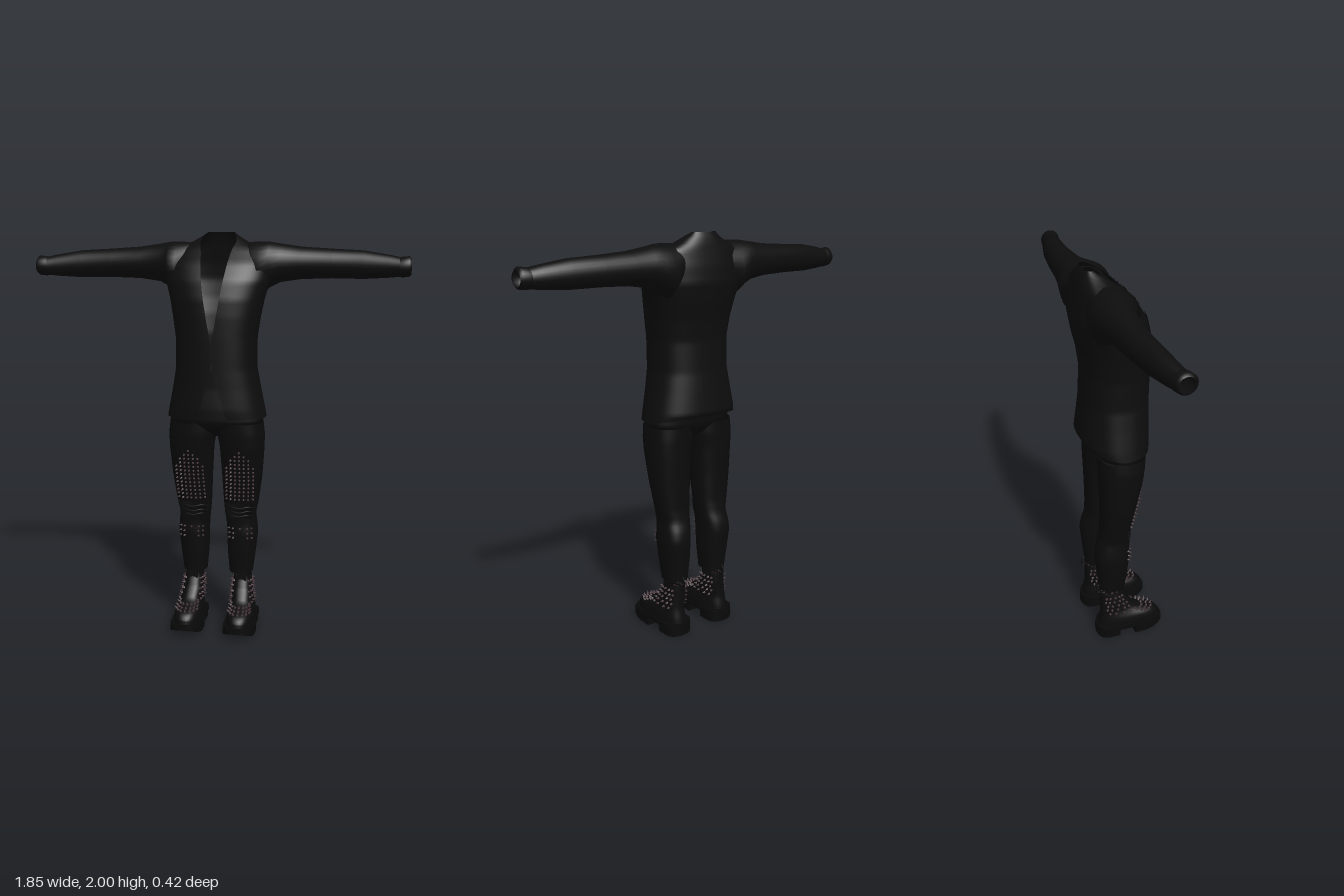
import * as THREE from 'three';
import { mergeGeometries } from 'three/addons/utils/BufferGeometryUtils.js';

const mat = (name, color, side = THREE.DoubleSide) => {
  const m = new THREE.MeshStandardMaterial({ color, side });
  m.name = name;
  return m;
};

// Quad grid through point(i, j); keep(i, j) may leave cells open
function grid(rows, cols, point, closed = false, keep = () => true) {
  const pos = [], idx = [], w = closed ? cols : cols + 1;
  for (let i = 0; i <= rows; i++) for (let j = 0; j < w; j++) pos.push(...point(i, j));
  for (let i = 0; i < rows; i++) for (let j = 0; j < cols; j++) {
    if (!keep(i, j)) continue;
    const a = i * w + j, b = i * w + (j + 1) % w, c = a + w, d = b + w;
    idx.push(a, b, c, b, d, c);
  }
  const g = new THREE.BufferGeometry();
  g.setAttribute('position', new THREE.Float32BufferAttribute(pos, 3));
  g.setIndex(idx);
  g.computeVertexNormals();
  return g;
}

// Linear lookup in a profile whose first column is the position along it
function sample(profile, t) {
  let k = 0;
  while (k < profile.length - 2 && t > profile[k + 1][0]) k++;
  const a = profile[k], b = profile[k + 1];
  const f = THREE.MathUtils.clamp((t - a[0]) / (b[0] - a[0]), 0, 1);
  return a.map((v, i) => v + (b[i] - v) * f);
}

const N = 2.4; // roundness of the cross-sections
const pw = v => Math.sign(v) * Math.abs(v) ** (2 / N);
const angleFor = (x, hw) => Math.asin(Math.sign(x) * Math.min(1, Math.abs(x / hw)) ** (N / 2));

// Profile columns: y, centre x, half width, front z, back z. Angle 0 is the front.
const surface = (profile, s = 1) => (y, a) => {
  const [, cx, hw, zf, zb] = sample(profile, y);
  return [s * cx + hw * pw(Math.sin(a)), y, (zf + zb) / 2 + (zf - zb) / 2 * pw(Math.cos(a))];
};

const TORSO = [
  [1.105, 0, .246, .14, -.18], [1.15, 0, .238, .145, -.19], [1.25, 0, .218, .145, -.18],
  [1.35, 0, .2, .147, -.17], [1.5, 0, .2, .15, -.165], [1.6, 0, .215, .15, -.178],
  [1.68, 0, .23, .145, -.197], [1.77, 0, .255, .122, -.21], [1.85, 0, .255, .072, -.2],
  [1.92, 0, .215, .0, -.185], [1.955, 0, .135, -.04, -.178], [1.985, 0, .085, -.075, -.168], [2, 0, .066, -.11, -.16]];
const OPENING = [[1.1, .075], [1.13, .065], [1.37, .002], [1.47, .002], [1.7, .042], [1.9, .073], [1.955, .09], [1.985, .08], [2, .062]];
const SLEEVE = [ // x, top y, bottom y, front z, back z
  [.13, 1.95, 1.75, -.01, -.18], [.2, 1.955, 1.69, .05, -.2], [.25, 1.953, 1.735, .012, -.196],
  [.3, 1.945, 1.76, -.01, -.186], [.4, 1.93, 1.775, -.02, -.175], [.55, 1.92, 1.78, -.03, -.16],
  [.7, 1.912, 1.778, -.025, -.138], [.82, 1.892, 1.785, -.015, -.11], [.89, 1.877, 1.792, -.003, -.09]];
const CUFF = [[.868, 1.88, 1.79, 0, -.095], [.88, 1.883, 1.787, .002, -.096], [.912, 1.886, 1.79, .006, -.09], [.923, 1.872, 1.8, -.005, -.082]];
const HIPS = [[1, 0, .02, .0, -.05], [1.035, 0, .13, .07, -.1], [1.08, 0, .234, .108, -.13],
  [1.15, 0, .22, .108, -.135], [1.25, 0, .198, .1, -.135], [1.34, 0, .185, .1, -.135]];
const LEG = [
  [.285, .12, .06, .005, -.13], [.4, .1225, .072, .018, -.142], [.5, .127, .078, .028, -.152],
  [.55, .123, .077, .026, -.145], [.6, .117, .078, .032, -.128], [.66, .121, .088, .03, -.12],
  [.8, .127, .101, .058, -.12], [.95, .128, .111, .09, -.125], [1.02, .122, .118, .1, -.128], [1.08, .119, .114, .104, -.128]];
const BOOT = [
  [.05, .135, .07, .195, -.145], [.085, .135, .07, .19, -.14], [.11, .135, .066, .168, -.135],
  [.125, .135, .06, .12, -.132], [.145, .133, .055, .066, -.13], [.2, .128, .052, .016, -.13],
  [.25, .127, .046, -.01, -.13], [.265, .127, .043, -.012, -.13]];

// Closed tube following a profile from bottom to top
function loft(profile, s, rows, keep) {
  const f = surface(profile, s), y0 = profile[0][0], y1 = profile.at(-1)[0], seg = 40;
  const yAt = i => y0 + (y1 - y0) * i / rows;
  return grid(rows, seg, (i, j) => f(yAt(i), j / seg * Math.PI * 2), true,
    keep && ((i, j) => keep(yAt(i + .5), ((j + .5) / seg * 2 - 1) * Math.PI)));
}

function sleeveGeometry(profile, s) {
  return grid(profile.length - 1, 28, (i, j) => {
    const [x, yt, yb, zf, zb] = profile[i], a = -s * j / 28 * Math.PI * 2;
    return [s * x, (yt + yb) / 2 + (yt - yb) / 2 * Math.sin(a), (zf + zb) / 2 + (zf - zb) / 2 * Math.cos(a)];
  }, true);
}

// Cone standing on a surface at height y and angle a
function stud(f, y, a, r = .007, h = .016) {
  const v = (yy, aa) => new THREE.Vector3(...f(yy, aa));
  const p = v(y, a), da = v(y, a + .02).sub(v(y, a - .02)), dy = v(y + .004, a).sub(v(y - .004, a));
  const n = da.cross(dy).normalize();
  const g = new THREE.ConeGeometry(r, h, 6);
  g.translate(0, h / 2 - .002, 0);
  g.applyQuaternion(new THREE.Quaternion().setFromUnitVectors(new THREE.Vector3(0, 1, 0), n));
  return g.translate(p.x, p.y, p.z);
}

// Sole block with rounded ends, seen from above
function slab(cx, hw, zb, zf, roundBack, roundFront, y0, y1) {
  const pts = [];
  for (let k = 0; k <= 14; k++) {
    const a = k / 14 * Math.PI;
    pts.push(new THREE.Vector2(hw * pw(Math.cos(a)), -(zb + roundBack - roundBack * pw(Math.sin(a)))));
  }
  for (let k = 0; k <= 14; k++) {
    const a = k / 14 * Math.PI;
    pts.push(new THREE.Vector2(-hw * pw(Math.cos(a)), -(zf - roundFront + roundFront * pw(Math.sin(a)))));
  }
  const g = new THREE.ExtrudeGeometry(new THREE.Shape(pts), { depth: y1 - y0, bevelEnabled: false });
  return g.rotateX(-Math.PI / 2).translate(cx, y0, 0);
}

export function createModel() {
  const model = new THREE.Group();
  const cloth = mat('jacket black', 0x0d0d0d), trouser = mat('trouser black', 0x0b0b0b);
  const leather = mat('boot black', 0x0c0b0b), rubber = mat('sole black', 0x090909, THREE.FrontSide);
  const metal = mat('stud brown', 0x46353a, THREE.FrontSide);
  const add = (name, geo, material, parent = model) => {
    const m = new THREE.Mesh(geo, material);
    m.name = name;
    parent.add(m);
  };

  // Jacket body, open along the front and at the armholes
  const jacket = new THREE.Group();
  jacket.name = 'jacket';
  model.add(jacket);
  const torso = surface(TORSO), rows = 56, cols = 56;
  const gapAngle = y => angleFor(sample(OPENING, y)[1], sample(TORSO, y)[2]);
  const yAt = i => 1.105 + .895 * i / rows;
  const bodyPoint = (i, j) => {
    const y = yAt(i), a0 = gapAngle(y), a = a0 + (Math.PI * 2 - 2 * a0) * j / cols;
    const p = torso(y, a);
    if (i < 3) p[1] += .028 * Math.max(0, -Math.cos(a)) * (1 - i / 3);
    return p;
  };
  add('jacketBody', grid(rows, cols, bodyPoint, false, (i, j) => {
    const p = bodyPoint(i + .5, j + .5);
    return !(Math.abs(p[0]) > .2 && p[1] > 1.79 && p[1] < 1.88 && p[2] > -.12 && p[2] < -.01);
  }), cloth, jacket);

  for (const s of [1, -1]) {
    const side = s > 0 ? 'left' : 'right';
    add(side + 'Sleeve', sleeveGeometry(SLEEVE, s), cloth, jacket);
    add(side + 'Cuff', sleeveGeometry(CUFF, s), cloth, jacket);

    // Lapel laid just over the chest
    add(side + 'Lapel', grid(24, 6, (i, j) => {
      const t = i / 24, y = 1.47 + .46 * t, hw = sample(TORSO, y)[2];
      const x = sample(OPENING, y)[1] + .055 * Math.sin(Math.PI * t ** .9) ** .8 * j / 6;
      const p = torso(y, s * angleFor(x, hw));
      return [p[0], p[1] + .002, p[2] + .005];
    }), cloth, jacket);

    // Trouser leg with a torn knee held by threads
    const leg = new THREE.Group();
    leg.name = side + 'Leg';
    model.add(leg);
    const legAt = surface(LEG, s);
    const torn = (y, a) => y > .575 && y < .655 && Math.abs(a) > Math.PI - .95;
    add('trouserLeg', loft(LEG, s, 40, (y, a) => !torn(y, a)), trouser, leg);
    for (const y of [.595, .615, .638]) {
      const path = [-1, -.5, 0, .5, 1].map((a, k) => new THREE.Vector3(...legAt(y + (k % 2) * .008, a)));
      add('kneeThread', new THREE.TubeGeometry(new THREE.CatmullRomCurve3(path), 16, .003, 5), trouser, leg);
    }

    // Studs on thigh and shin
    const studs = [];
    const legStud = (y, off) => studs.push(stud(legAt, y, angleFor(off, sample(LEG, y)[2])));
    for (let r = 0; r < 13; r++) {
      const y = .685 + r * .021, half = y < .86 ? .068 : .068 - (y - .86) * .6;
      for (let k = -3; k <= 3; k++) if (Math.abs(k) * .022 < half) legStud(y, k * .022);
    }
    for (const y of [.48, .505, .53]) for (const o of [-.056, -.036, .0, .036, .056]) if (o || y === .53) legStud(y, o);
    add('legStuds', mergeGeometries(studs), metal, leg);

    // Boot: upper, chunky sole, heel and loops
    const boot = new THREE.Group();
    boot.name = side + 'Boot';
    model.add(boot);
    const cx = s * .135, bootAt = surface(BOOT, s);
    add('bootUpper', loft(BOOT, s, 24), leather, boot);
    add('midsole', slab(cx, .076, -.15, .205, .06, .1, .04, .062), rubber, boot);
    add('heel', slab(cx, .07, -.155, -.04, .06, .002, 0, .05), rubber, boot);
    const sole = slab(cx, .08, .04, .21, .002, .1, 0, .052), p = sole.attributes.position;
    for (let i = 0; i < p.count; i++) { // toe lifts off the ground
      const lift = Math.max(0, p.getZ(i) - .06) / .15;
      if (p.getY(i) < .02) p.setY(i, lift * lift * .038);
    }
    sole.computeVertexNormals();
    add('foreSole', sole, rubber, boot);
    const loop = new THREE.TorusGeometry(.02, .004, 6, 16);
    loop.scale(.6, 1.2, 1).rotateY(Math.PI / 2).translate(s * .127, .285, -.138);
    add('pullLoop', loop, leather, boot);
    const tongue = new THREE.BoxGeometry(.05, .045, .006).translate(s * .127, .263, -.012);
    add('tongue', tongue, leather, boot);

    // Studs around the shaft and across the toe
    const bootStuds = [];
    for (let r = 0; r < 5; r++) for (let k = 0; k < 5; k++) for (const d of [1, -1])
      bootStuds.push(stud(bootAt, .14 + r * .024, d * (.85 + k * .33 + (r % 2) * .12), .008, .018));
    for (const y of [.115, .123, .133]) for (let k = -3; k <= 3; k++)
      bootStuds.push(stud(bootAt, y, k * .3, .008, .02));
    add('bootStuds', mergeGeometries(bootStuds), metal, boot);
  }

  // Hips of the trousers
  add('trouserHips', loft(HIPS, 1, 20), trouser);
  return model;
}
